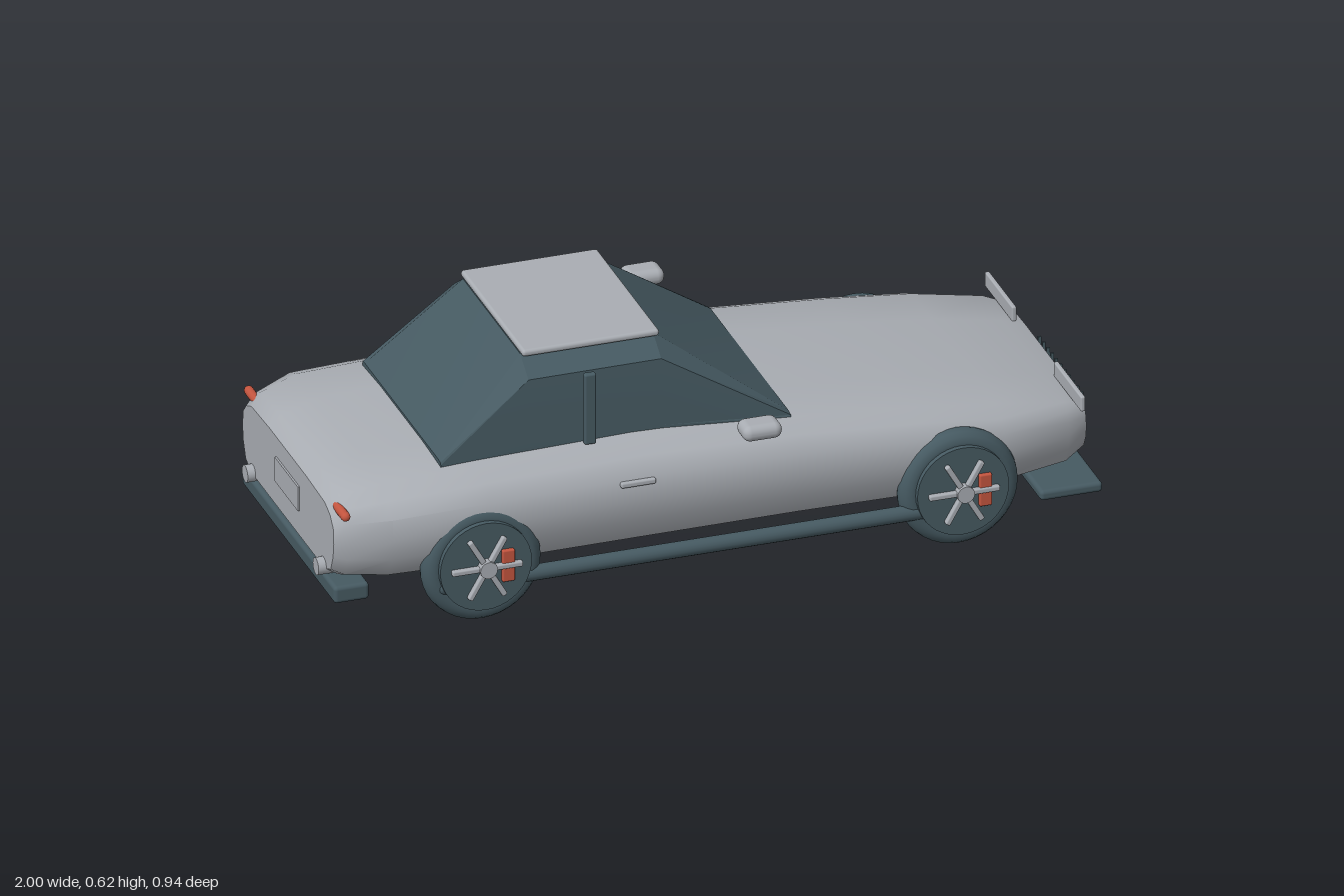
import * as THREE from 'three';
import { toCreasedNormals } from 'three/addons/utils/BufferGeometryUtils.js';
import { RoundedBoxGeometry } from 'three/addons/geometries/RoundedBoxGeometry.js';

const mat = (name, color) => Object.assign(new THREE.MeshStandardMaterial({ color }), { name });

// Skin mirrored half-profiles [z, y] (bottom to top) placed along x, with closed ends.
function loft(sections, crease) {
  const rings = sections.map(([x, half]) => [
    ...half.map(([z, y]) => new THREE.Vector3(x, y, -z)),
    ...half.slice().reverse().map(([z, y]) => new THREE.Vector3(x, y, z)),
  ]);
  const pos = [];
  const tri = (...pts) => pts.forEach((p) => pos.push(p.x, p.y, p.z));
  const n = rings[0].length;
  for (let i = 0; i < rings.length - 1; i++) {
    for (let j = 0; j < n; j++) {
      const k = (j + 1) % n;
      const a = rings[i][j], b = rings[i][k], c = rings[i + 1][k], d = rings[i + 1][j];
      tri(a, b, d);
      tri(b, c, d);
    }
  }
  const first = rings[0], last = rings[rings.length - 1];
  for (let j = 1; j < n - 1; j++) {
    tri(last[0], last[j], last[j + 1]);
    tri(first[0], first[j + 1], first[j]);
  }
  const g = new THREE.BufferGeometry();
  g.setAttribute('position', new THREE.Float32BufferAttribute(pos, 3));
  return toCreasedNormals(g, crease);
}

export function createModel() {
  const car = new THREE.Group();
  car.name = 'car';
  const silver = mat('silver', 0xa9adb3);
  const dark = mat('darkTrim', 0x465a62);
  const red = mat('red', 0xc4553f);

  const add = (name, geo, material, x = 0, y = 0, z = 0, parent = car) => {
    const m = new THREE.Mesh(geo, material);
    m.name = name;
    m.position.set(x, y, z);
    parent.add(m);
    return m;
  };
  const box = (w, h, d, r = 0) =>
    r ? new RoundedBoxGeometry(w, h, d, 3, r) : new THREE.BoxGeometry(w, h, d);

  // Body shell: x, bottom, top, half width, bottom half width, top half width
  const stations = [
    [-0.98, 0.14, 0.325, 0.335, 0.27, 0.27],
    [-0.95, 0.125, 0.35, 0.355, 0.28, 0.29],
    [-0.85, 0.12, 0.375, 0.4, 0.29, 0.31],
    [-0.6, 0.115, 0.385, 0.403, 0.3, 0.31],
    [-0.2, 0.115, 0.392, 0.4, 0.3, 0.3],
    [0.2, 0.115, 0.378, 0.393, 0.3, 0.305],
    [0.5, 0.112, 0.353, 0.388, 0.3, 0.305],
    [0.72, 0.11, 0.327, 0.383, 0.29, 0.31],
    [0.9, 0.12, 0.295, 0.335, 0.27, 0.3],
    [0.955, 0.145, 0.278, 0.305, 0.25, 0.275],
  ];
  add('body', loft(stations.map(([x, b, t, w, bw, tw]) => {
    const h = t - b;
    return [x, [
      [bw, b],
      [bw + (w - bw) * 0.65, b + h * 0.1],
      [w * 0.985, b + h * 0.32],
      [w, b + h * 0.52],
      [w * 0.99, b + h * 0.74],
      [tw + (w - tw) * 0.6, b + h * 0.88],
      [tw, b + h * 0.97],
      [tw * 0.5, t],
    ]];
  }), 0.7), silver);

  // Cabin glass and roof
  add('cabin', loft([
    [-0.69, [[0.288, 0.34], [0.288, 0.38], [0.285, 0.386], [0.27, 0.388]]],
    [-0.46, [[0.285, 0.34], [0.285, 0.39], [0.272, 0.565], [0.21, 0.607]]],
    [-0.12, [[0.28, 0.34], [0.28, 0.39], [0.27, 0.565], [0.21, 0.607]]],
    [0.2, [[0.305, 0.34], [0.305, 0.37], [0.303, 0.375], [0.285, 0.379]]],
  ], 0.3), dark);
  add('roofPanel', box(0.35, 0.018, 0.46, 0.008), silver, -0.285, 0.614, 0);

  // Bumpers
  add('frontSplitter', box(0.16, 0.027, 0.77, 0.01), dark, 0.89, 0.089, 0);
  add('rearBumper', box(0.09, 0.045, 0.68, 0.01), dark, -0.935, 0.098, 0);

  // Nose slats and rear plate
  for (let i = -5; i <= 5; i++)
    add('noseSlat', box(0.008, 0.078, 0.005), dark, 0.995, 0.194, i * 0.031);
  add('rearPlate', box(0.008, 0.065, 0.17), silver, -0.981, 0.24, 0);

  for (const s of [1, -1]) {
    // Side fittings
    const sill = add('sill', new THREE.CapsuleGeometry(0.02, 1.32, 6, 16), dark, -0.06, 0.106, s * 0.392);
    sill.rotation.z = Math.PI / 2;
    add('doorPillar', box(0.03, 0.19, 0.018, 0.005), dark, -0.315, 0.48, s * 0.304);
    add('mirror', box(0.1, 0.042, 0.072, 0.02), silver, 0.075, 0.422, s * 0.432);
    add('doorHandle', box(0.09, 0.015, 0.014, 0.005), silver, -0.225, 0.31, s * 0.402);

    // Lamps and exhausts
    add('headlight', box(0.012, 0.04, 0.202, 0.004), silver, 0.93, 0.305, s * 0.253);
    const tail = add('tailLight', new THREE.CapsuleGeometry(0.012, 0.18, 6, 12), red, -0.957, 0.318, s * 0.265);
    tail.rotation.x = Math.PI / 2;
    const pipe = add('exhaust', new THREE.CylinderGeometry(0.022, 0.022, 0.05, 20), silver, -0.975, 0.145, s * 0.26);
    pipe.rotation.z = Math.PI / 2;

    // Wheels
    for (const x of [-0.62, 0.6]) {
      const wheel = new THREE.Group();
      wheel.name = x > 0 ? 'frontWheel' : 'rearWheel';
      wheel.position.set(x, 0.153, s * 0.375);
      car.add(wheel);
      add('tyre', new THREE.TorusGeometry(0.121, 0.032, 14, 40), dark, 0, 0, 0, wheel);
      const disc = add('wheelDisc', new THREE.CylinderGeometry(0.117, 0.117, 0.09, 40), dark, 0, 0.004, 0, wheel);
      disc.rotation.x = Math.PI / 2;
      for (let k = 0; k < 3; k++) {
        const bar = add('spoke', box(0.18, 0.014, 0.016, 0.004), silver, 0, 0.004, s * 0.053, wheel);
        bar.rotation.z = (k * Math.PI) / 3;
      }
      const hub = add('hub', new THREE.CylinderGeometry(0.022, 0.022, 0.026, 20), silver, 0, 0.004, s * 0.055, wheel);
      hub.rotation.x = Math.PI / 2;
      add('brakeCaliper', box(0.032, 0.085, 0.014, 0.004), red, 0.055, 0.002, s * 0.049, wheel);
    }
  }
  return car;
}
